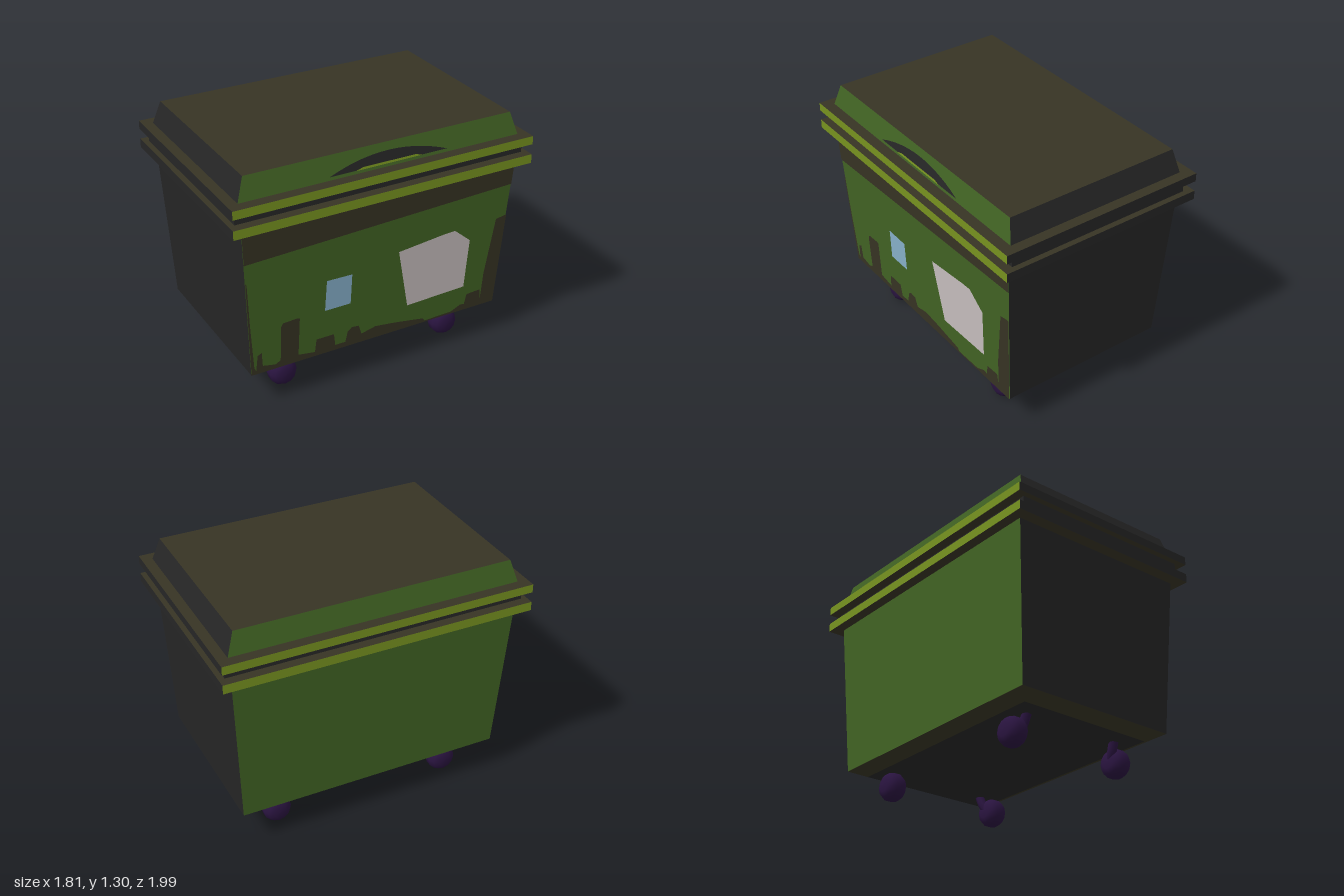
import * as THREE from 'three';

const mat = (name, color) => {
  const m = new THREE.MeshStandardMaterial({ color });
  m.name = name;
  return m;
};

export function createModel() {
  const green = mat('green paint', 0x426424);
  const lime = mat('lime rim', 0x76921f);
  const black = mat('dark metal', 0x262626);
  const brown = mat('grimy brown', 0x373424);
  const purple = mat('purple caster', 0x2a1440);
  const pale = mat('pale patch', 0xc8c0c0);
  const blue = mat('blue sticker', 0x88b2cc);

  const bin = new THREE.Group();
  bin.name = 'wheeledBin';

  const add = (name, geometry, material, parent = bin) => {
    const mesh = new THREE.Mesh(geometry, material);
    mesh.name = name;
    parent.add(mesh);
    return mesh;
  };

  // Box tapering from half-sizes [x, z] at y0 to [x, z] at y1;
  // material order is ends, ends, top, bottom, front, back
  const frustum = (name, y0, [x0, z0], y1, [x1, z1], ends, top, bottom, sides) => {
    const g = new THREE.BoxGeometry(2, 2, 2);
    const p = g.attributes.position;
    for (let i = 0; i < p.count; i++) {
      const up = p.getY(i) > 0;
      p.setXYZ(i, p.getX(i) * (up ? x1 : x0), up ? y1 : y0, p.getZ(i) * (up ? z1 : z0));
    }
    g.computeVertexNormals();
    return add(name, g, [ends, ends, top, bottom, sides, sides]);
  };

  // Body, rims and lid
  frustum('underside', 0.165, [0.638, 0.385], 0.2, [0.715, 0.461], brown, brown, black, brown);
  frustum('body', 0.2, [0.715, 0.461], 1.04, [0.762, 0.508], black, brown, brown, green);
  frustum('lowerRim', 1.037, [0.825, 0.5625], 1.085, [0.825, 0.5625], black, brown, brown, lime);
  frustum('rimGap', 1.085, [0.795, 0.513], 1.14, [0.795, 0.513], black, black, black, black);
  frustum('upperRim', 1.14, [0.825, 0.5625], 1.185, [0.825, 0.5625], black, brown, brown, lime);
  frustum('lid', 1.185, [0.771, 0.504], 1.305, [0.733, 0.48], black, brown, brown, green);

  // Painted shapes laid on the sloping front faces
  const bodyZ = y => 0.461 + 0.047 * (y - 0.2) / 0.84;
  const lidZ = y => 0.504 - 0.024 * (y - 1.185) / 0.12;
  const paint = (name, points, material, slope, lift = 0.004) => {
    const shape = new THREE.Shape(points.map(([x, y]) => new THREE.Vector2(x, y)));
    const g = new THREE.ShapeGeometry(shape);
    const p = g.attributes.position;
    for (let i = 0; i < p.count; i++) p.setZ(i, slope(p.getY(i)) + lift);
    g.computeVertexNormals();
    return add(name, g, material);
  };

  paint('topGrimeBand', [[-0.751, 0.852], [0.755, 0.91], [0.762, 1.037], [-0.762, 1.037]], brown, bodyZ);
  paint('bottomGrime', [
    [-0.715, 0.2], [0.715, 0.2], [0.745, 0.73], [0.735, 0.73], [0.682, 0.72], [0.638, 0.4],
    [0.63, 0.23], [0.622, 0.3], [0.541, 0.295], [0.529, 0.235], [0.506, 0.24], [0.448, 0.212],
    [0.285, 0.208], [0.274, 0.225], [0.1, 0.255], [-0.016, 0.27], [-0.097, 0.25], [-0.114, 0.305],
    [-0.155, 0.31], [-0.178, 0.29], [-0.19, 0.23], [-0.248, 0.23], [-0.258, 0.3], [-0.357, 0.3],
    [-0.364, 0.225], [-0.457, 0.24], [-0.453, 0.46], [-0.464, 0.465], [-0.545, 0.46],
    [-0.556, 0.44], [-0.556, 0.24], [-0.585, 0.225], [-0.654, 0.24], [-0.66, 0.32],
    [-0.682, 0.31], [-0.69, 0.22], [-0.7, 0.24], [-0.722, 0.5], [-0.738, 0.74], [-0.745, 0.75],
  ], brown, bodyZ);
  paint('blueSticker', [[-0.313, 0.46], [-0.168, 0.46], [-0.165, 0.632], [-0.307, 0.635]], blue, bodyZ);
  paint('palePatch', [[0.17, 0.34], [0.515, 0.352], [0.528, 0.635], [0.43, 0.718], [0.37, 0.715], [0.1, 0.685]],
    pale, bodyZ);
  for (const x of [-0.06, 0.36])
    paint('drip', [[x, 1.005], [x + 0.015, 1.037], [x - 0.015, 1.037]], black, bodyZ, 0.007);

  // Curved lid handle with a lime sliver beneath
  const arc = [];
  for (let i = 0; i <= 14; i++) {
    const t = i / 14 * 2 - 1;
    arc.push([0.025 - 0.325 * t, 1.203 + 0.062 * (1 - t * t)]);
  }
  paint('lidHandle', arc, black, lidZ);
  paint('handleSlot', [[-0.16, 1.203], [0.21, 1.203], [0.17, 1.214], [-0.12, 1.214]], lime, lidZ, 0.007);

  // Casters: barrel wheel with a bent leg reaching outward and inward
  const wheelProfile = [[0, -0.058], [0.035, -0.057], [0.06, -0.044], [0.075, -0.02],
    [0.075, 0.02], [0.06, 0.044], [0.035, 0.057], [0, 0.058]].map(([r, y]) => new THREE.Vector2(r, y));
  const wheelGeo = new THREE.LatheGeometry(wheelProfile, 12).rotateX(Math.PI / 2);
  for (const sx of [-1, 1]) for (const sz of [-1, 1]) {
    const caster = new THREE.Group();
    caster.name = 'caster';
    caster.position.set(sx * 0.485, 0.077, sz * 0.33);
    add('wheel', wheelGeo, purple, caster);
    const path = new THREE.CatmullRomCurve3([
      new THREE.Vector3(0, 0, -sz * 0.03),
      new THREE.Vector3(sx * 0.025, 0.045, -sz * 0.045),
      new THREE.Vector3(sx * 0.045, 0.095, -sz * 0.05),
    ]);
    add('leg', new THREE.TubeGeometry(path, 6, 0.024, 8), purple, caster);
    bin.add(caster);
  }

  // The bin stands turned on the ground
  bin.rotation.y = 1.039;
  const model = new THREE.Group();
  model.name = 'model';
  model.add(bin);
  return model;
}
